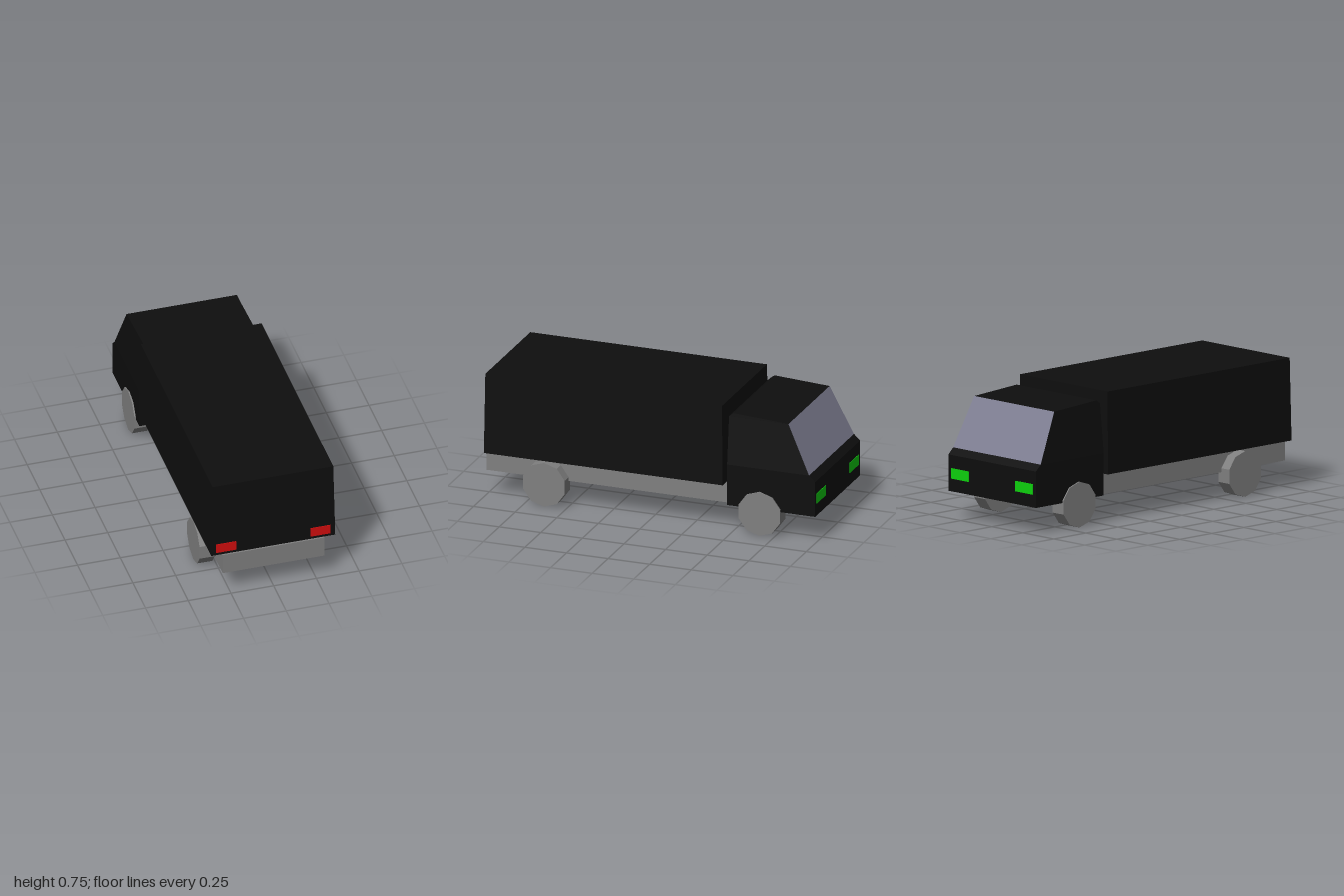
import * as THREE from 'three';

const paint = (name, color) => {
  const m = new THREE.MeshStandardMaterial({ color });
  m.name = name;
  return m;
};

// Stacks four-cornered sections upward. A level is [half width, rear z, rear y, front z, front y];
// the front lies towards -z. pick(side, band) returns the material index of a face.
function loft(levels, pick) {
  const pos = [];
  const geo = new THREE.BufferGeometry();
  const quad = (a, b, c, d, mat) => {
    geo.addGroup(pos.length / 3, 6, mat);
    for (const p of [a, b, c, a, c, d]) pos.push(...p);
  };
  const rings = levels.map(([w, zr, yr, zf, yf]) => [[-w, yr, zr], [w, yr, zr], [w, yf, zf], [-w, yf, zf]]);
  const sides = ['rear', 'left', 'front', 'right'];
  for (let i = 0; i < rings.length - 1; i++) {
    const lo = rings[i], hi = rings[i + 1];
    sides.forEach((side, k) => {
      const n = (k + 1) % 4;
      quad(lo[k], lo[n], hi[n], hi[k], pick(side, i));
    });
  }
  const bottom = rings[0], top = rings[rings.length - 1];
  quad(bottom[3], bottom[2], bottom[1], bottom[0], pick('bottom', 0));
  quad(top[0], top[1], top[2], top[3], pick('top', 0));
  geo.setAttribute('position', new THREE.Float32BufferAttribute(pos, 3));
  geo.computeVertexNormals();
  return geo;
}

export function createModel() {
  const black = paint('bodyBlack', 0x0e0e0e);
  const grey = paint('chassisGrey', 0x808080);
  const glass = paint('windowGlass', 0x808094);
  const red = paint('tailLightRed', 0xd20e0e);
  const green = paint('headlightGreen', 0x0ed20e);

  const truck = new THREE.Group();
  truck.name = 'truck';
  const add = (name, geo, mat, x = 0, y = 0, z = 0) => {
    const mesh = new THREE.Mesh(geo, mat);
    mesh.name = name;
    mesh.position.set(x, y, z);
    truck.add(mesh);
  };

  // Chassis, ending just inside the back of the cab
  add('chassis', new THREE.BoxGeometry(0.596, 0.125, 1.475), grey, 0, 0.2125, 0.2625);

  // Cargo box, slightly narrower at the top
  add('cargoBox', loft([
    [0.363, 0.99, 0.275, -0.445, 0.275],
    [0.353, 0.985, 0.747, -0.437, 0.747],
  ], () => 0), [black]);

  // Cab with a tapered upper half, windscreen and grey underside
  add('cab', loft([
    [0.353, -0.468, 0.157, -0.997, 0.157],
    [0.353, -0.468, 0.365, -0.997, 0.365],
    [0.353, -0.468, 0.40, -0.96, 0.40],
    [0.323, -0.468, 0.68, -0.825, 0.68],
    [0.321, -0.495, 0.70, -0.825, 0.68],
  ], (side, band) => (side === 'bottom' ? 1 : side === 'front' && band === 2 ? 2 : 0)), [black, grey, glass]);

  // Ten-sided wheels with a corner pointing up
  const wheel = new THREE.CylinderGeometry(0.131, 0.131, 0.088, 10, 1, false, Math.PI / 2).rotateZ(Math.PI / 2);
  const wheelMat = grey.clone();
  wheelMat.name = 'wheelGrey';
  wheelMat.flatShading = true;

  for (const [side, s] of [['left', 1], ['right', -1]]) {
    add(side + 'FrontWheel', wheel, wheelMat, s * 0.317, 0.132, -0.664);
    add(side + 'RearWheel', wheel, wheelMat, s * 0.317, 0.132, 0.63);
    add(side + 'TailLight', new THREE.BoxGeometry(0.118, 0.057, 0.008), red, s * 0.276, 0.32, 0.989);
    add(side + 'Headlight', new THREE.BoxGeometry(0.142, 0.06, 0.006), green, s * 0.259, 0.26, -0.997);
  }
  return truck;
}
